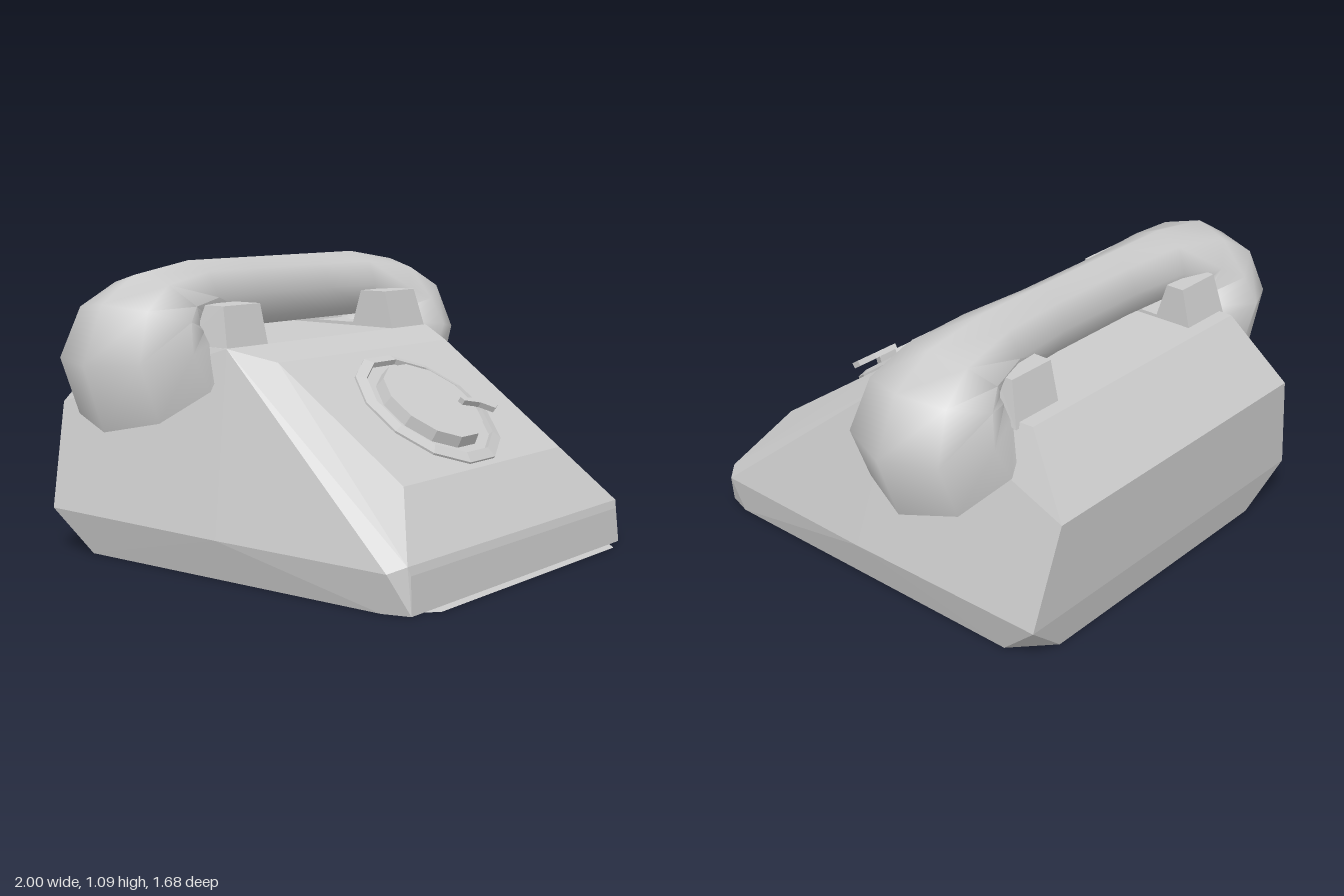
import * as THREE from 'three';
import { toCreasedNormals } from 'three/addons/utils/BufferGeometryUtils.js';
import { ConvexGeometry } from 'three/addons/geometries/ConvexGeometry.js';

const flat = new THREE.MeshStandardMaterial({ color: 0xcccccc, flatShading: true });
const smooth = new THREE.MeshStandardMaterial({ color: 0xcccccc });
const thin = new THREE.MeshStandardMaterial({ color: 0xcccccc, side: THREE.DoubleSide });

function add(parent, name, geometry, material = flat) {
  const mesh = new THREE.Mesh(geometry, material);
  mesh.name = name;
  parent.add(mesh);
  return mesh;
}

// Wedge-shaped housing: half of the corners, mirrored in x
function housingGeometry() {
  const half = [
    [0.6, 0.795, -0.06], [0.57, 0.8, -0.64], [0.66, 0.55, -0.84], // deck and back ridge
    [0.51, 0.75, 0.1], [0.5, 0.375, 0.635], // sloped dial panel
    [0.68, 0.16, 0.783], [0.67, 0.13, 0.79], [0.735, 0.14, 0.74], // front nose
    [0.755, 0.15, 0.02], [0.755, 0.16, -0.805], // widest line of the sides
    [0.68, 0, 0.8], [0.71, 0, 0.7], [0.71, 0, -0.64], [0.57, 0, -0.77], // foot
  ];
  const points = half.flatMap(([x, y, z]) => [new THREE.Vector3(x, y, z), new THREE.Vector3(-x, y, z)]);
  return new ConvexGeometry(points);
}

// Bottom plate with cut corners
function basePlateGeometry() {
  const outline = [[0.57, 0.84], [0.71, 0.7], [0.71, -0.64], [0.57, -0.77]];
  const mirrored = outline.map(([x, z]) => [-x, z]).reverse();
  const shape = new THREE.Shape([...outline, ...mirrored].map(([x, z]) => new THREE.Vector2(x, z)));
  return new THREE.ShapeGeometry(shape).rotateX(Math.PI / 2);
}

// Cradle: two prongs joined by a low saddle, as (z, y) profile
function cradleGeometry(side) {
  const profile = [[-0.06, 0.78], [-0.1, 0.94], [-0.22, 0.94], [-0.26, 0.81],
    [-0.44, 0.81], [-0.48, 0.94], [-0.55, 0.94], [-0.59, 0.78]];
  const shape = new THREE.Shape(profile.map(([z, y]) => new THREE.Vector2(-z, y)));
  const geometry = new THREE.ExtrudeGeometry(shape, { depth: 0.22, bevelEnabled: false });
  geometry.rotateY(Math.PI / 2).translate(side > 0 ? 0.375 : -0.595, 0, 0);
  // draw the outer flank in towards the top
  const p = geometry.attributes.position;
  for (let i = 0; i < p.count; i++) {
    if (Math.abs(p.getX(i)) > 0.5 && p.getY(i) > 0.9) p.setX(i, side * 0.57);
  }
  return geometry;
}

// Handset: eight-sided rings swept from one cup over the bar to the other
function handsetGeometry() {
  const sides = 8, zc = -0.355;
  // outer x, y; inner x, y; half depth
  const half = [
    [0.91, 0.51, 0.43, 0.79, 0.283],
    [1.0, 0.75, 0.5, 0.82, 0.28],
    [0.91, 0.955, 0.52, 0.83, 0.24],
    [0.75, 1.05, 0.52, 0.83, 0.19],
    [0.48, 1.09, 0.45, 0.83, 0.14],
    [0.2, 1.09, 0.2, 0.83, 0.115],
  ];
  const rings = [...half, ...half.map(([a, b, c, d, e]) => [-a, b, -c, d, e]).reverse()];
  const pos = [], index = [];
  for (const [ox, oy, ix, iy, depth] of rings) {
    for (let j = 0; j < sides; j++) {
      const t = (j / sides) * Math.PI * 2, k = Math.cos(t) / 2;
      pos.push((ox + ix) / 2 + k * (ox - ix), (oy + iy) / 2 + k * (oy - iy), zc + Math.sin(t) * depth);
    }
  }
  const last = (rings.length - 1) * sides;
  for (let j = 0; j < sides; j++) {
    const n = (j + 1) % sides;
    for (let i = 0; i < last; i += sides) {
      const a = i + j, b = i + n, c = a + sides, d = b + sides;
      index.push(a, c, b, b, c, d);
    }
    // flat cup faces
    if (j > 0 && n > 0) index.push(0, j, n, last, last + n, last + j);
  }
  const geometry = new THREE.BufferGeometry();
  geometry.setAttribute('position', new THREE.Float32BufferAttribute(pos, 3));
  geometry.setIndex(index);
  return toCreasedNormals(geometry, 1.1);
}

// Dial on the sloped panel; local z points out of the panel
function createDial() {
  const dial = new THREE.Group();
  dial.name = 'dial';
  dial.position.set(0, 0.555, 0.378);
  dial.rotation.x = -Math.atan2(0.819, 0.574);

  const rim = [[0.3, -0.02], [0.3, 0.008], [0.26, 0.02], [0.25, -0.02]].map(([r, y]) => new THREE.Vector2(r, y));
  add(dial, 'dialRim', new THREE.LatheGeometry(rim, 12).rotateX(Math.PI / 2).rotateZ(Math.PI / 12));

  const wheel = add(dial, 'dialWheel', new THREE.CylinderGeometry(0.205, 0.215, 0.05, 12).rotateX(Math.PI / 2));
  wheel.rotation.z = Math.PI / 12;
  wheel.position.z = 0.018;

  const outline = [[0.12, -0.03], [0.125, -0.05], [0.2, -0.075], [0.25, -0.115], [0.3, -0.095], [0.305, -0.05], [0.22, -0.05]];
  const shape = new THREE.Shape(outline.map(([x, y]) => new THREE.Vector2(x, y)));
  const stop = add(dial, 'fingerStop', new THREE.ExtrudeGeometry(shape, { depth: 0.022, bevelEnabled: false }));
  stop.position.z = 0.042;
  return dial;
}

export function createModel() {
  const model = new THREE.Group();
  model.name = 'telephone';
  add(model, 'housing', housingGeometry());
  add(model, 'basePlate', basePlateGeometry(), thin);
  add(model, 'leftCradle', cradleGeometry(1));
  add(model, 'rightCradle', cradleGeometry(-1));
  add(model, 'handset', handsetGeometry(), smooth);
  model.add(createDial());
  return model;
}
